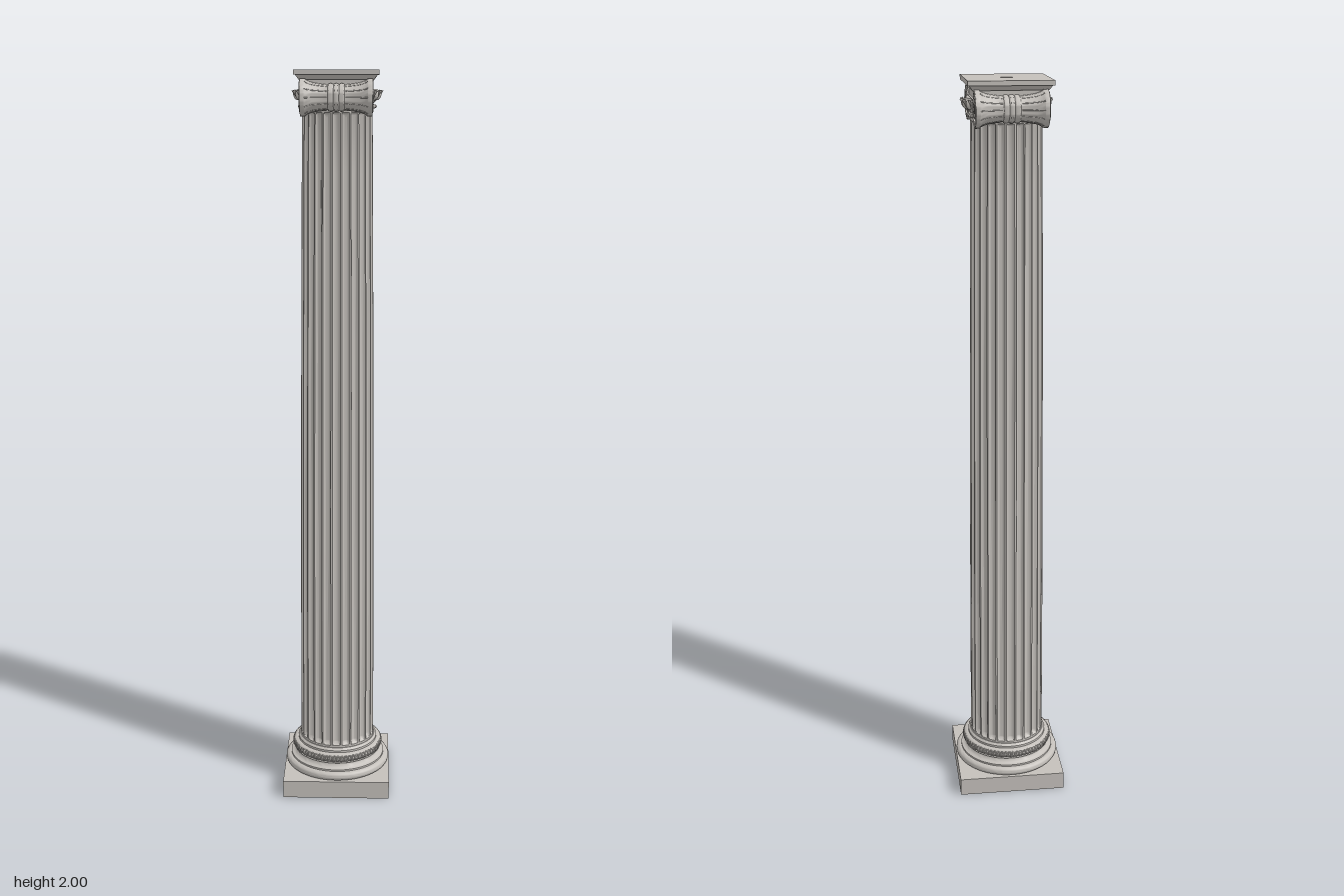
import * as THREE from 'three';
import { toCreasedNormals, mergeGeometries } from 'three/addons/utils/BufferGeometryUtils.js';

const V2 = (p) => p.map(([a, b]) => new THREE.Vector2(a, b));

export function createModel() {
  const stone = new THREE.MeshStandardMaterial({ color: 0xc4c0bb });
  stone.name = 'stone';
  const root = new THREE.Group();
  root.name = 'ionicColumn';
  const add = (name, geo, parent = root) => {
    const m = new THREE.Mesh(geo, stone);
    m.name = name;
    parent.add(m);
    return m;
  };
  const lathe = (pts, seg = 72) => toCreasedNormals(new THREE.LatheGeometry(V2(pts), seg), 0.7);
  // half-round moulding bulging outward from y0 to y1
  const bulge = (r, y0, y1, depth, n = 8) => Array.from({ length: n + 1 }, (_, i) => {
    const a = Math.PI * (i / n - 0.5);
    return [r + depth * Math.cos(a), (y0 + y1) / 2 + (y1 - y0) / 2 * Math.sin(a)];
  });

  // Base: square plinth and round mouldings
  add('plinth', new THREE.BoxGeometry(0.3, 0.05, 0.3).translate(0, 0.025, 0));
  add('baseMouldings', lathe([
    ...bulge(0.138, 0.05, 0.074, 0.011),
    [0.134, 0.074], [0.134, 0.079], [0.125, 0.082], [0.12, 0.087], [0.119, 0.092], [0.124, 0.095],
    ...bulge(0.118, 0.097, 0.122, 0.01),
    [0.113, 0.122], [0.113, 0.128], [0.107, 0.134], [0.09, 0.134],
  ]));

  // Interlaced band on the upper base ring
  const braid = [];
  for (const phase of [0, Math.PI]) {
    const pts = [];
    for (let i = 0; i < 288; i++) {
      const a = i / 288 * Math.PI * 2, s = Math.sin(a * 36 + phase);
      const r = 0.1275 - 0.003 * s * s;
      pts.push(new THREE.Vector3(r * Math.cos(a), 0.1095 + 0.008 * s, r * Math.sin(a)));
    }
    braid.push(new THREE.TubeGeometry(new THREE.CatmullRomCurve3(pts, true), 432, 0.0022, 5, true));
  }
  add('braidedRing', mergeGeometries(braid));

  // Fluted shaft with slight swelling and rounded flute ends
  const FLUTES = 24, STEPS = 12, Y0 = 0.13, Y1 = 1.905;
  const heights = [];
  for (let i = 0; i <= 6; i++) heights.push(Y0 + 0.01 + 0.012 * (1 - Math.cos(i / 6 * Math.PI / 2)));
  for (let i = 1; i < 12; i++) heights.push(Y0 + 0.022 + (Y1 - Y0 - 0.044) * i / 12);
  for (let i = 6; i >= 0; i--) heights.push(Y1 - 0.01 - 0.012 * (1 - Math.cos(i / 6 * Math.PI / 2)));
  heights.unshift(Y0);
  heights.push(Y1);
  const cols = FLUTES * STEPS, pos = [], idx = [];
  heights.forEach((y, j) => {
    const t = (y - Y0) / (Y1 - Y0);
    const R = 0.105 - 0.013 * Math.pow(t, 1.5);
    const d = Math.max(0, Math.min(y - Y0 - 0.01, Y1 - 0.01 - y, 0.012)) / 0.012;
    const open = Math.sqrt(Math.max(0, 1 - (1 - d) * (1 - d)));
    for (let i = 0; i < cols; i++) {
      const u = ((i % STEPS) / STEPS - 0.5) * 2;
      const inFlute = Math.max(0, 1 - (u / 0.834) ** 2);
      const r = R - 0.0105 * R / 0.105 * open * Math.sqrt(inFlute);
      const a = (i / STEPS - 0.5) / FLUTES * Math.PI * 2;
      pos.push(r * Math.sin(a), y, r * Math.cos(a));
      if (j < heights.length - 1) {
        const p = j * cols + i, q = j * cols + (i + 1) % cols;
        idx.push(p, q, q + cols, p, q + cols, p + cols);
      }
    }
  });
  const shaft = new THREE.BufferGeometry();
  shaft.setAttribute('position', new THREE.Float32BufferAttribute(pos, 3));
  shaft.setIndex(idx);
  add('flutedShaft', toCreasedNormals(shaft, 0.6));

  // Capital
  const capital = new THREE.Group();
  capital.name = 'capital';
  root.add(capital);
  add('echinus', lathe([
    [0.088, 1.9], ...bulge(0.092, 1.903, 1.915, 0.006, 6),
    [0.093, 1.917], [0.102, 1.925], [0.108, 1.935], [0.109, 1.945], [0.103, 1.952], [0.07, 1.955],
  ]), capital);

  // Eggs with darts between them, and a string of beads below
  const eggs = [];
  for (let i = 0; i < 24; i++) {
    const a = (i + 0.5) / 24 * Math.PI * 2;
    const egg = new THREE.SphereGeometry(1, 10, 8).scale(0.008, 0.013, 0.0095);
    eggs.push(egg.rotateX(0.35).translate(0, 1.937, 0.105).rotateY(a));
    const dart = new THREE.ConeGeometry(0.004, 0.022, 4).rotateX(Math.PI + 0.35);
    eggs.push(dart.translate(0, 1.939, 0.111).rotateY(a + Math.PI / 24));
    for (const k of [0, 0.5]) {
      eggs.push(new THREE.SphereGeometry(0.005, 8, 6).translate(0, 1.909, 0.097).rotateY(a + k * Math.PI / 12));
    }
  }
  add('eggAndDart', mergeGeometries(eggs), capital);

  // Channel block joining the scrolls
  add('scrollChannel', new THREE.BoxGeometry(0.176, 0.03, 0.2).translate(0, 1.961, 0), capital);

  const CY = 1.932, CZ = 0.102, FACE = 0.088;
  // Flared side scrolls: turned along x, pinched at a ribbed belt
  const half = [[0.046, 0.091], [0.046, 0.08], [0.041, 0.074], [0.036, 0.06], [0.033, 0.042], [0.031, 0.024]];
  const rings = [-0.014, 0, 0.014].flatMap((y) => bulge(0.031, y - 0.007, y + 0.007, 0.004, 6));
  const scroll = [
    [0, -FACE], [0.041, -FACE], [0.042, -0.091],
    ...half.map(([r, y]) => [r, -y]), ...rings, ...half.slice().reverse(),
    [0.042, 0.091], [0.041, FACE], [0, FACE],
  ];
  for (const s of [1, -1]) {
    const g = new THREE.Group();
    g.name = s > 0 ? 'frontScroll' : 'backScroll';
    g.position.set(0, CY, s * CZ);
    capital.add(g);
    add('bolster', lathe(scroll, 48).rotateZ(-Math.PI / 2), g);

    // Raised leaf ribs on the flared parts
    const leaves = [];
    for (const side of [1, -1]) for (let i = 0; i < 12; i++) {
      const a = i / 12 * Math.PI * 2;
      const pts = half.slice(1).map(([r, x]) => new THREE.Vector3(
        side * x, (r - 0.0005) * Math.cos(a), (r - 0.0005) * Math.sin(a)));
      leaves.push(new THREE.TubeGeometry(new THREE.CatmullRomCurve3(pts), 10, 0.0016, 5));
    }
    add('leafRibs', mergeGeometries(leaves), g);

    // Eye of each spiral
    for (const side of [1, -1]) {
      add('scrollEye', new THREE.SphereGeometry(0.0085, 16, 10).scale(0.8, 1, 1).translate(side * FACE, 0, 0), g);
    }
  }

  // Spiral fillets, running continuously across the channel on each face
  for (const side of [1, -1]) {
    const arm = (s) => Array.from({ length: 61 }, (_, i) => {
      const a = i / 60 * Math.PI * 5, r = 0.008 + 0.0355 * Math.pow(1 - i / 60, 1.15);
      return new THREE.Vector3(side * 0.09, CY + r * Math.cos(a), s * (CZ + r * Math.sin(a)));
    });
    const top = [-0.05, 0, 0.05].map((z) => new THREE.Vector3(side * 0.09, CY + 0.0435, z));
    const path = new THREE.CatmullRomCurve3([...arm(-1).reverse(), ...top, ...arm(1)]);
    add('spiralFillet', new THREE.TubeGeometry(path, 300, 0.0032, 6), capital);
    add('channelFillet', new THREE.BoxGeometry(0.008, 0.005, 0.14).translate(side * 0.089, 1.951, 0), capital);
  }

  // Abacus: sloped moulding under a slab with a small socket
  const neck = new THREE.CylinderGeometry(0.104 * Math.SQRT2, 0.094 * Math.SQRT2, 0.014, 4, 1);
  add('abacusMoulding', toCreasedNormals(neck.rotateY(Math.PI / 4), 0.5).translate(0, 1.981, 0), capital);
  const rect = (C, w, h) => new C(V2([[-w, -h], [w, -h], [w, h], [-w, h]]));
  const slab = rect(THREE.Shape, 0.108, 0.108);
  slab.holes.push(rect(THREE.Path, 0.015, 0.008));
  const slabGeo = new THREE.ExtrudeGeometry(slab, { depth: 0.012, bevelEnabled: false });
  add('abacus', slabGeo.rotateX(-Math.PI / 2).translate(0, 1.988, 0), capital);

  return root;
}
